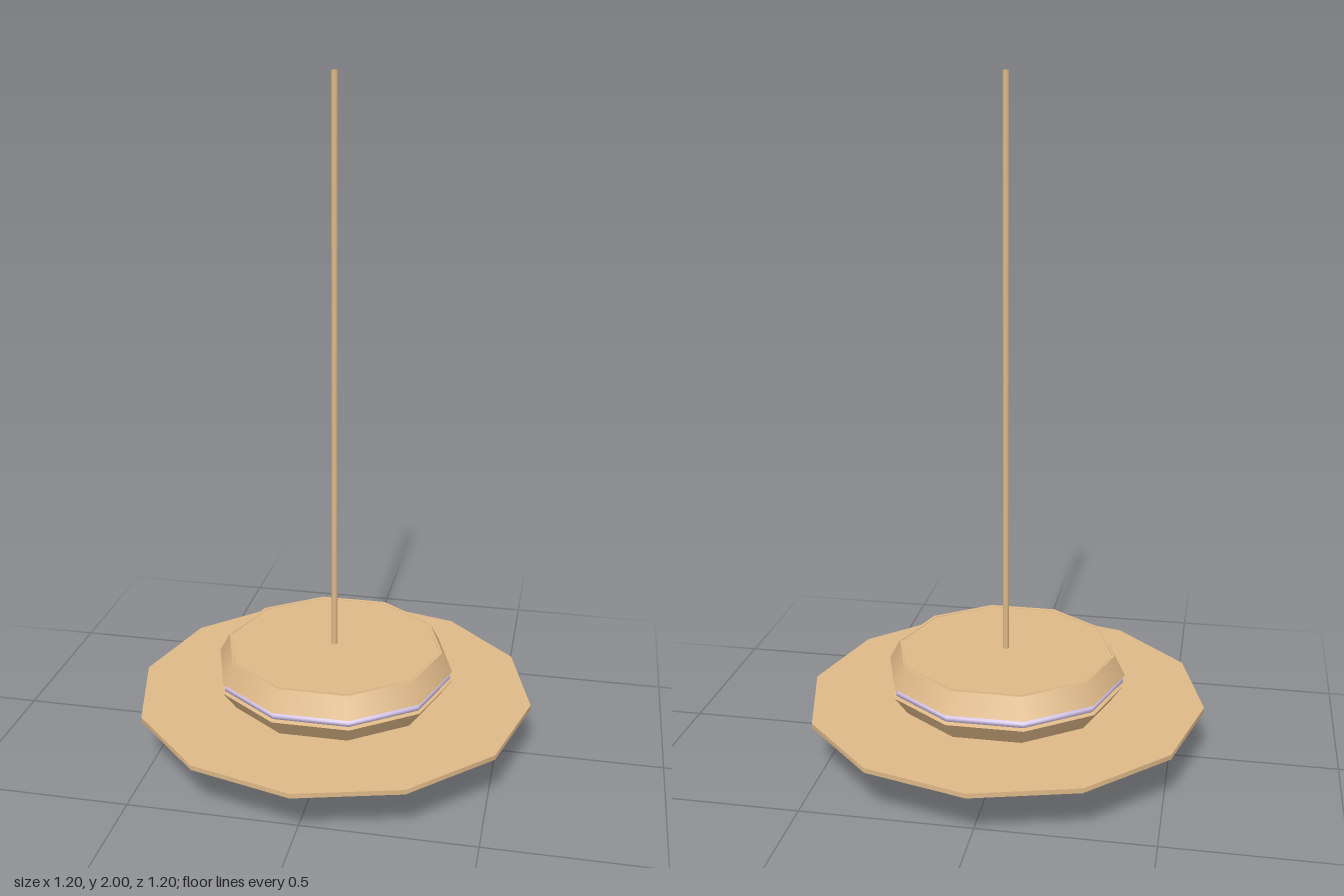
import * as THREE from 'three';

const wood = new THREE.MeshStandardMaterial({ color: 0xdeb887, side: THREE.DoubleSide });
const lilac = new THREE.MeshStandardMaterial({ color: 0xd0bfe6, side: THREE.DoubleSide });
const SIDES = 10;

export function createModel() {
  const model = new THREE.Group();

  const add = (name, geometry, material = wood, y = 0) => {
    const mesh = new THREE.Mesh(geometry, material);
    mesh.name = name;
    mesh.position.y = y;
    model.add(mesh);
  };

  // Ten-sided ring with a corner on each side of the x axis
  const ring = (name, profile, material) => add(name, new THREE.LatheGeometry(
    profile.map(([r, y]) => new THREE.Vector2(r, y)), SIDES, Math.PI / 2), material);

  // Stepped, open-bottomed tiers, each flaring upwards
  ring('lowerTier', [[0.21, 0], [0.24, 0.06]]);
  ring('lowerStep', [[0.24, 0.06], [0.26, 0.06]]);
  ring('middleTier', [[0.26, 0.06], [0.29, 0.105], [0.305, 0.14], [0.3, 0.15]]);
  ring('upperTier', [[0.315, 0.155], [0.362, 0.22]]);
  ring('upperTierLip', [[0.362, 0.22], [0.345, 0.226]]);

  // Thin coloured band between the upper tier and the top
  ring('band', [[0.34, 0.224], [0.356, 0.228], [0.356, 0.24], [0.34, 0.25]], lilac);

  // Top: sloping rim and flat lid
  ring('topLip', [[0.34, 0.246], [0.362, 0.25]]);
  ring('topRim', [[0.362, 0.25], [0.33, 0.31]]);
  ring('topEdge', [[0.33, 0.312], [0.322, 0.312], [0.322, 0.309]]);
  ring('lid', [[0.33, 0.309], [0, 0.309]]);

  // Wide twelve-sided plate
  add('plate', new THREE.CylinderGeometry(0.6, 0.6, 0.014, 12), wood, 0.157);

  // Slim hanging rod
  add('rod', new THREE.CylinderGeometry(0.009, 0.009, 1.69, 10), wood, 1.155);

  return model;
}
